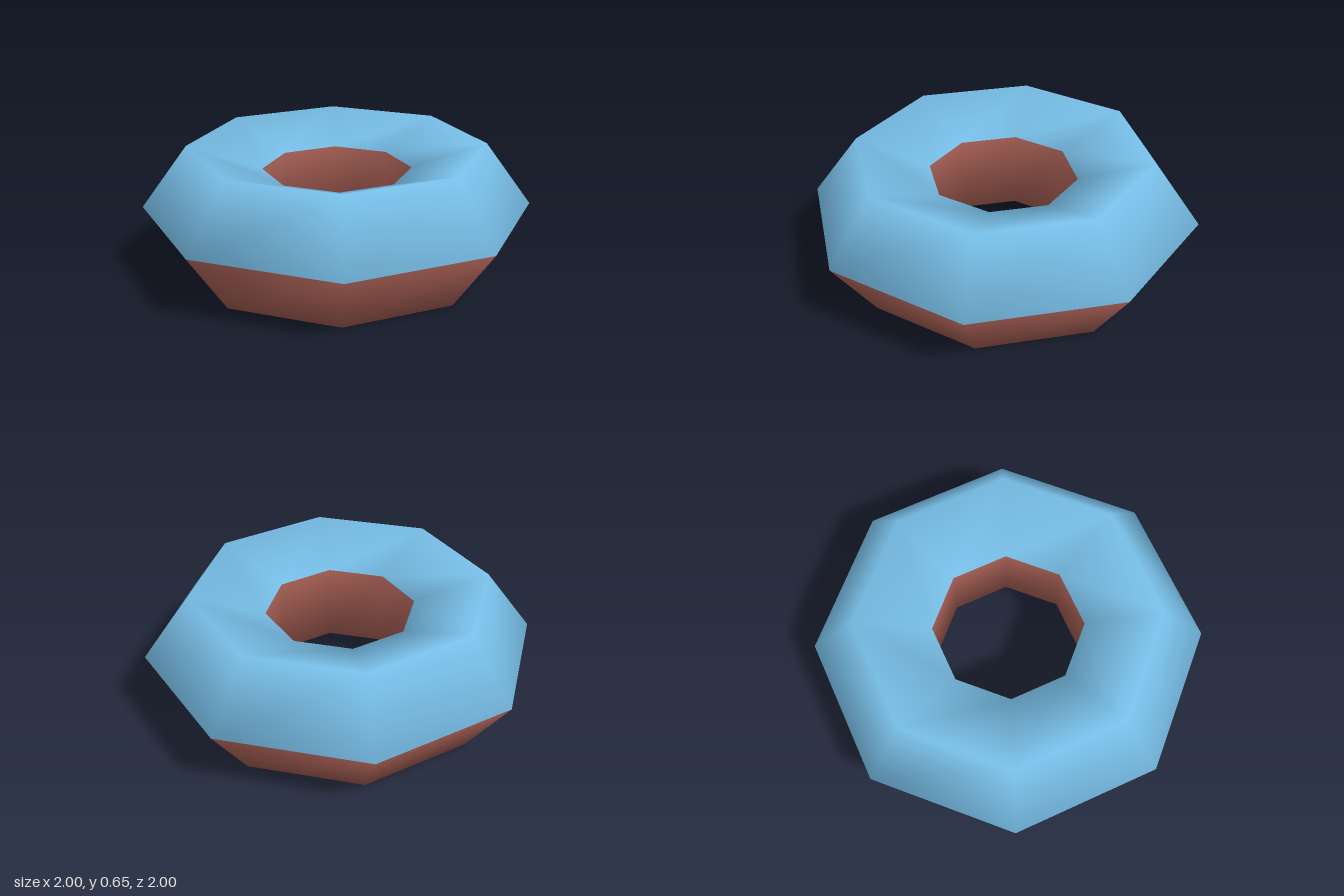
import * as THREE from 'three';

const RING_RADIUS = 0.658;
const TUBE_RADIUS = 0.342;
const TUBE_SIDES = 5;
const RING_SIDES = 8;

// A run of lengthwise bands of the ring, counted from the outer rim over the top and inward
function ringBands(name, material, firstBand, bandCount) {
  const geometry = new THREE.TorusGeometry(RING_RADIUS, TUBE_RADIUS, TUBE_SIDES, RING_SIDES);
  const indicesPerBand = RING_SIDES * 6;
  const start = firstBand * indicesPerBand;
  const indices = Array.from(geometry.index.array);
  geometry.setIndex(indices.slice(start, start + bandCount * indicesPerBand));

  // Lay the ring flat and stand it on the ground
  geometry.rotateX(-Math.PI / 2);
  geometry.translate(0, TUBE_RADIUS * Math.sin((2 * Math.PI) / TUBE_SIDES), 0);

  const mesh = new THREE.Mesh(geometry, material);
  mesh.name = name;
  return mesh;
}

export function createModel() {
  const icingBlue = new THREE.MeshStandardMaterial({ color: 0x78bfe8 });
  icingBlue.name = 'icingBlue';
  const doughBrown = new THREE.MeshStandardMaterial({ color: 0x98564c });
  doughBrown.name = 'doughBrown';

  const group = new THREE.Group();
  group.name = 'doughnut';

  // Icing: upper outer slope and top
  group.add(ringBands('icing', icingBlue, 0, 2));
  // Dough: wall of the hole, underside and lower outer slope
  group.add(ringBands('dough', doughBrown, 2, 3));

  return group;
}
